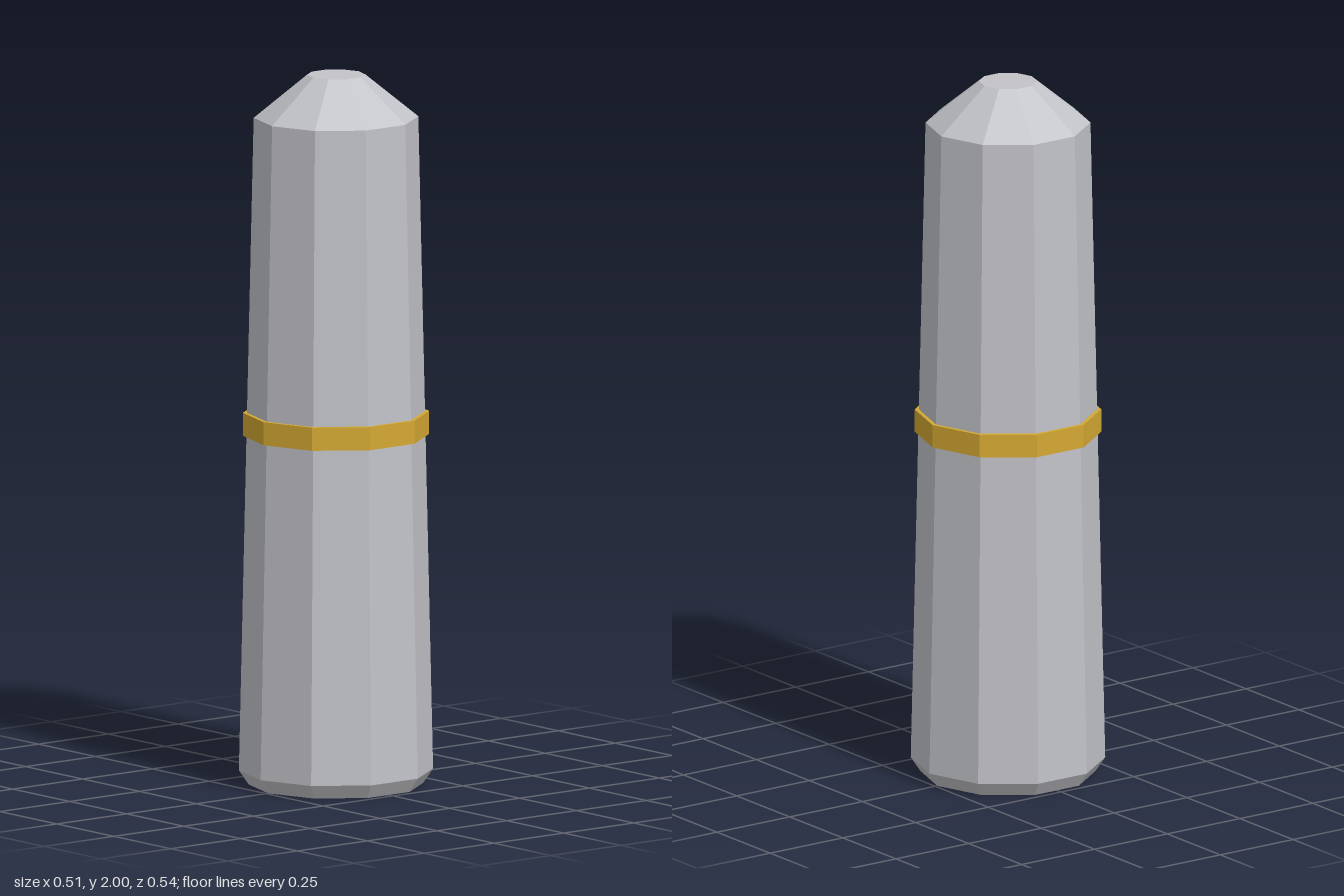
import * as THREE from 'three';

const SIDES = 10;

export function createModel() {
  const group = new THREE.Group();

  const steel = new THREE.MeshStandardMaterial({ color: 0xc2c3c8, flatShading: true });
  steel.name = 'grey metal';
  const gold = new THREE.MeshStandardMaterial({ color: 0xd4a832, flatShading: true });
  gold.name = 'gold';

  // Tapered ten-sided body with a chamfered foot and a blunt conical tip
  const profile = [
    [0, 0], [0.243, 0], [0.27, 0.04], [0.229, 1.88], [0.081, 2], [0, 2],
  ].map(([r, y]) => new THREE.Vector2(r, y));
  const body = new THREE.Mesh(new THREE.LatheGeometry(profile, SIDES), steel);
  body.name = 'body';
  group.add(body);

  // Raised band around the middle
  const band = new THREE.Mesh(new THREE.CylinderGeometry(0.259, 0.259, 0.065, SIDES), gold);
  band.name = 'band';
  band.position.y = 1.016;
  group.add(band);

  return group;
}
